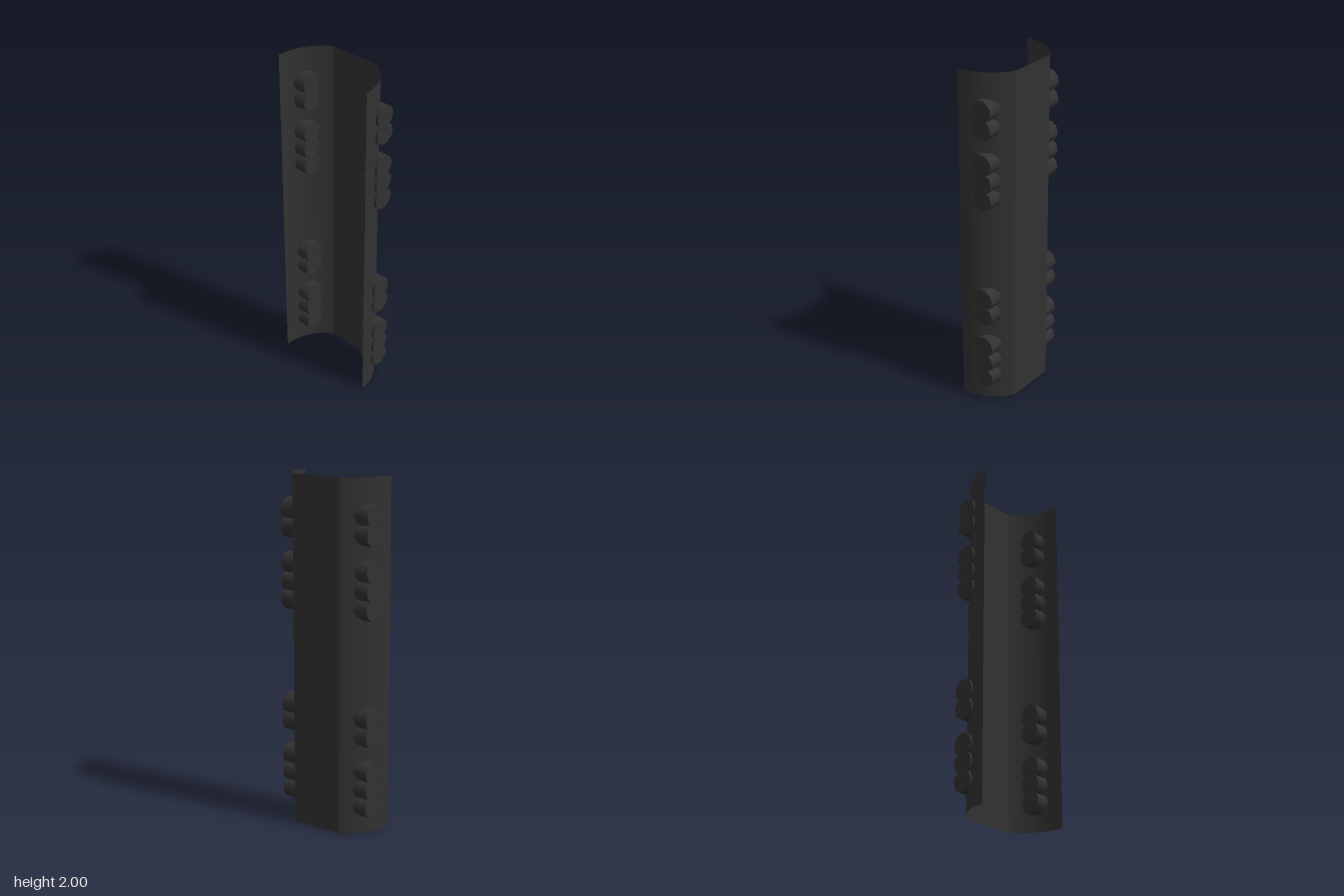
import * as THREE from 'three';

const RADIUS = 0.3, FRONT_Z = 0.13, HEIGHT = 2;

// Upright sheet swept along a list of [x, z] section points
function sheet(points, material, name) {
  const geometry = new THREE.PlaneGeometry(1, HEIGHT, points.length - 1, 1);
  const pos = geometry.attributes.position;
  for (let i = 0; i < pos.count; i++) {
    const [x, z] = points[i % points.length];
    pos.setXYZ(i, x, pos.getY(i) + HEIGHT / 2, z);
  }
  geometry.computeVertexNormals();
  const mesh = new THREE.Mesh(geometry, material);
  mesh.name = name;
  return mesh;
}

export function createModel() {
  const group = new THREE.Group();
  group.name = 'channelRail';
  const black = new THREE.MeshStandardMaterial({ color: 0x323232, side: THREE.DoubleSide });
  black.name = 'charcoal black';

  // Section: round sides cut off by a flat back
  const arc = (from, to) => Array.from({ length: 13 }, (_, i) => {
    const a = THREE.MathUtils.degToRad(from + (to - from) * i / 12);
    return [RADIUS * Math.cos(a), FRONT_Z - RADIUS * Math.sin(a)];
  });
  const left = arc(60, 0), right = arc(180, 120);
  group.add(
    sheet(right, black, 'rightCurvedSide'),
    sheet([right[12], left[0]], black, 'flatBack'),
    sheet(left, black, 'leftCurvedSide')
  );

  // Stacked pegs passing through both sides, in pairs and triples
  const pegGeometry = new THREE.CylinderGeometry(0.063, 0.063, 0.09, 10);
  pegGeometry.rotateZ(Math.PI / 2);
  const clusters = [[0.157, 3], [0.567, 2], [1.285, 3], [1.693, 2]];
  for (const side of [-1, 1]) {
    for (const [base, count] of clusters) {
      const cluster = new THREE.Group();
      cluster.name = (side > 0 ? 'left' : 'right') + (count === 3 ? 'PegTriple' : 'PegPair');
      for (let i = 0; i < count; i++) {
        const peg = new THREE.Mesh(pegGeometry, black);
        peg.name = 'peg';
        peg.position.set(side * 0.255, base + i * 0.103, -0.022);
        cluster.add(peg);
      }
      group.add(cluster);
    }
  }
  return group;
}
